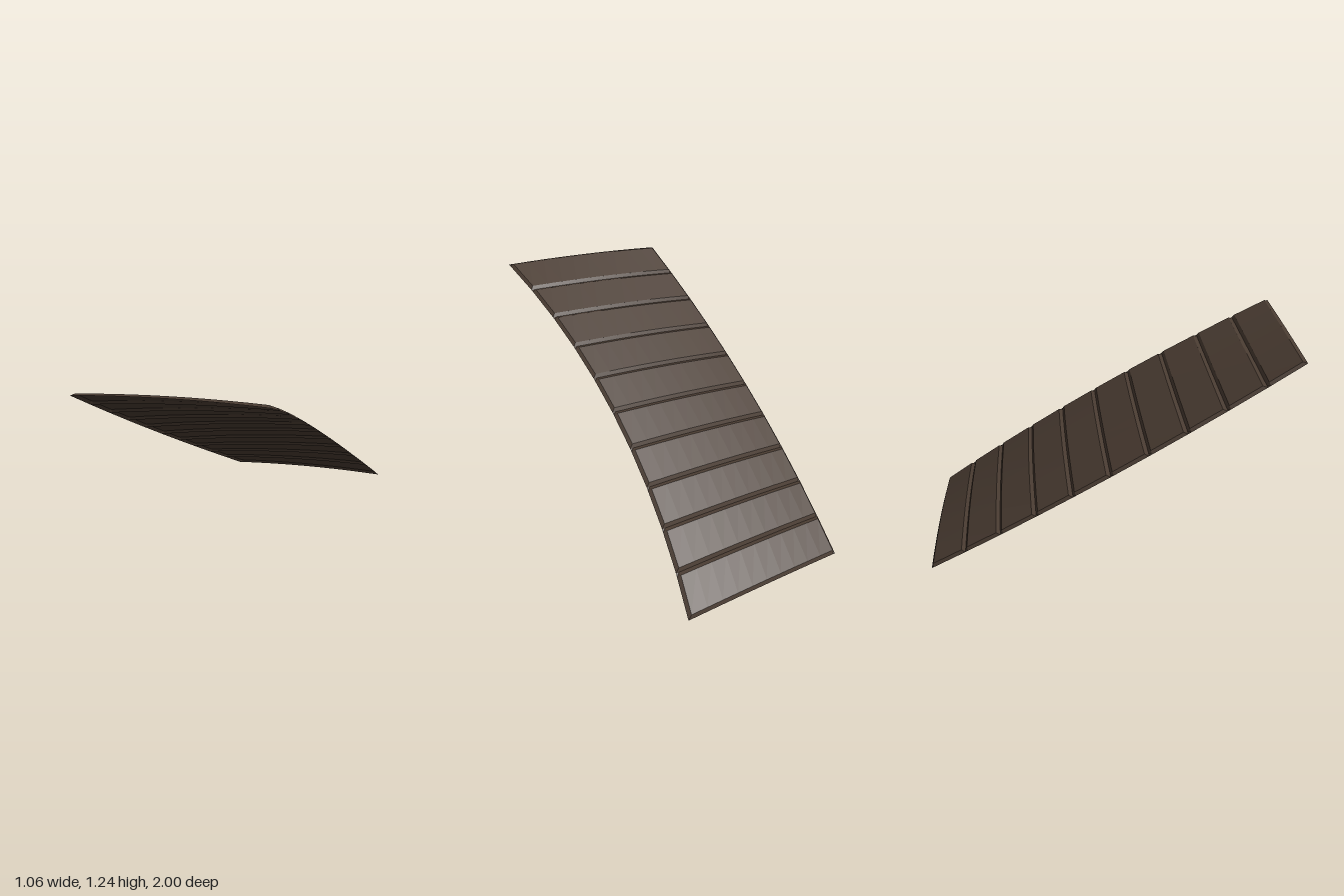
import * as THREE from 'three';

const PLANKS = 10;
const ACROSS = 10;        // segments across the width
const BEVEL_U = 0.018;    // bevel inset across the width (fraction of width)
const BEVEL_V = 0.08;     // bevel inset along one plank (fraction of plank)
const RAISE = 0.013;      // height of the plank face above its rim

const bow = (t) => 4 * t * (1 - t);

// Curved, sloping sheet: u runs from right (-x) to left (+x), t from the high front to the low back
function sheetPoint(u, t) {
  const b = bow(t);
  const low = new THREE.Vector3(-0.46 - 0.075 * b, 1.16 * (1 - t), 1 - 1.94 * t);
  const high = new THREE.Vector3(
    0.525 - 0.115 * b, 1.24 - 1.18 * t + 0.065 * b, 0.98 - 1.98 * t - 0.045 * b);
  const p = low.lerp(high, u);
  p.y += 0.012 * bow(u);
  p.z -= 0.006 * bow(u);
  return p;
}

// One open-backed plank: a raised face with a sloping bevel on all four sides
function plankGeometry(t0, t1) {
  const us = [0];
  for (let i = 0; i <= ACROSS; i++) us.push(BEVEL_U + (1 - 2 * BEVEL_U) * i / ACROSS);
  us.push(1);
  const vs = [0, BEVEL_V, 1 - BEVEL_V, 1];

  const pointAt = (col, row) => {
    const u = us[col];
    const start = sheetPoint(u, t0), end = sheetPoint(u, t1);
    const p = start.clone().lerp(end, vs[row]);
    if (row === 1 || row === 2) {
      if (col > 0 && col < us.length - 1) {
        const side = sheetPoint(u + 0.01, t0).sub(sheetPoint(u - 0.01, t0));
        p.addScaledVector(side.cross(end.sub(start)).normalize(), RAISE);
      }
    }
    return p;
  };

  const positions = [];
  const add = (...points) => points.forEach((p) => positions.push(p.x, p.y, p.z));
  for (let row = 0; row < vs.length - 1; row++) {
    for (let col = 0; col < us.length - 1; col++) {
      const a = pointAt(col, row), b = pointAt(col + 1, row);
      const c = pointAt(col + 1, row + 1), d = pointAt(col, row + 1);
      add(a, b, c, a, c, d);
    }
  }
  const geometry = new THREE.BufferGeometry();
  geometry.setAttribute('position', new THREE.Float32BufferAttribute(positions, 3));
  geometry.computeVertexNormals();
  return geometry;
}

export function createModel() {
  const model = new THREE.Group();
  model.name = 'curvedPlankPanel';
  const wood = new THREE.MeshStandardMaterial({ color: 0x4a3c32, side: THREE.DoubleSide });
  wood.name = 'dark brown wood';

  // Planks laid edge to edge down the slope
  for (let k = 0; k < PLANKS; k++) {
    const plank = new THREE.Mesh(plankGeometry(k / PLANKS, (k + 1) / PLANKS), wood);
    plank.name = `plank${k + 1}`;
    model.add(plank);
  }
  return model;
}
